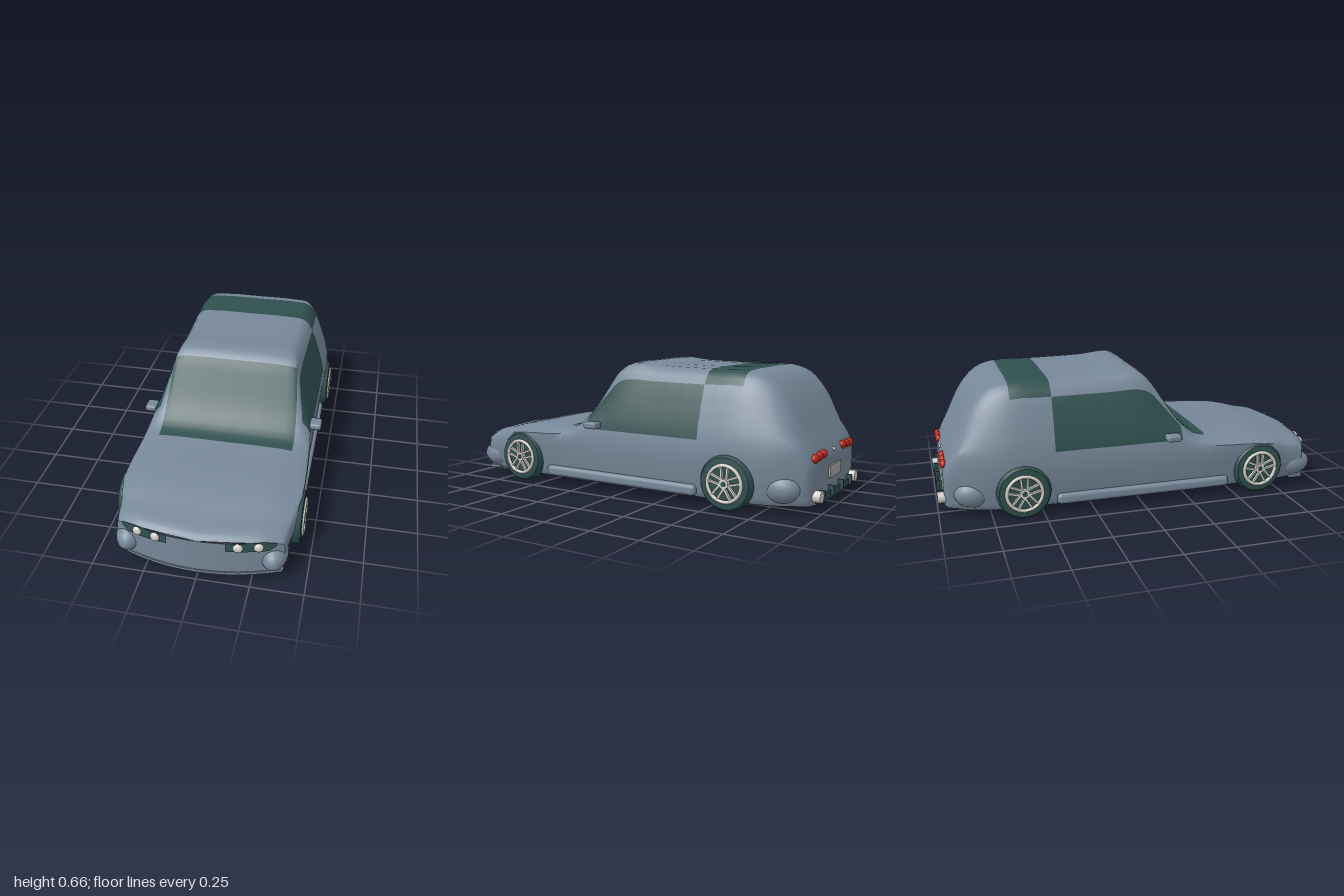
import * as THREE from 'three';
import { toCreasedNormals } from 'three/addons/utils/BufferGeometryUtils.js';
import { RoundedBoxGeometry } from 'three/addons/geometries/RoundedBoxGeometry.js';

const mat = (name, color) => Object.assign(new THREE.MeshStandardMaterial({ color }), { name });

// Stations, front to back: z, top y, roof edge x, window top x and y, belt x
const STATIONS = [
  [0.985, 0.225, 0.33, 0.37, 0.21, 0.39],
  [0.95, 0.245, 0.32, 0.37, 0.23, 0.395],
  [0.85, 0.262, 0.32, 0.37, 0.245, 0.405],
  [0.75, 0.285, 0.32, 0.38, 0.265, 0.42],
  [0.63, 0.303, 0.33, 0.39, 0.28, 0.435],
  [0.36, 0.318, 0.345, 0.39, 0.3, 0.43],
  [0.29, 0.337, 0.345, 0.385, 0.318, 0.425],
  [0.21, 0.41, 0.342, 0.375, 0.385, 0.42],
  [0.12, 0.54, 0.33, 0.35, 0.49, 0.42],
  [0.06, 0.625, 0.32, 0.337, 0.555, 0.42],
  [0, 0.66, 0.305, 0.335, 0.575, 0.42],
  [-0.15, 0.65, 0.3, 0.335, 0.573, 0.42],
  [-0.44, 0.645, 0.3, 0.342, 0.573, 0.42],
  [-0.64, 0.645, 0.3, 0.342, 0.573, 0.425],
  [-0.74, 0.615, 0.285, 0.33, 0.535, 0.41],
  [-0.83, 0.52, 0.275, 0.32, 0.45, 0.385],
  [-0.9, 0.385, 0.26, 0.305, 0.35, 0.35],
  [-0.95, 0.285, 0.25, 0.285, 0.265, 0.32],
  [-0.968, 0.235, 0.22, 0.25, 0.22, 0.275],
];
const FLOOR = 0.04, SUB_Z = 3, SUB_V = 2;

// How far the nose sweeps back at x
const sweep = (x, z) => 0.085 * THREE.MathUtils.smoothstep(z, 0.65, 0.98) * (x / 0.4) ** 2;
const noseZ = (x) => 0.985 - sweep(x, 0.985);

// Half cross-section, bottom centre to roof centre
function halfSection([z, top, roofX, winX, winY, beltX]) {
  const beltY = Math.min(0.32, top * 0.88);
  const flankX = Math.min(beltX + 0.005, 0.425), sillX = flankX - 0.02;
  const pts = [
    [0, FLOOR], [sillX - 0.015, FLOOR], [sillX, 0.075], [flankX, beltY * 0.65], [beltX, beltY],
    [(beltX + winX) / 2 + 0.006, (beltY + winY) / 2], [winX, winY], [roofX, top * 0.975],
    [roofX * 0.85, top * 0.995], [0, top],
  ];
  return pts.map(([x, y]) => new THREE.Vector3(x, y, z - sweep(x, z)));
}

function refine(points, sub) {
  return new THREE.CatmullRomCurve3(points).getPoints((points.length - 1) * sub);
}

// Body shell: windows are the grid cells between fixed section points
function bodyGeometry() {
  const sections = STATIONS.map(halfSection);
  const rails = sections[0].map((_, i) => refine(sections.map((s) => s[i]), SUB_Z));
  const halves = rails[0].map((_, s) => refine(rails.map((r) => r[s]), SUB_V));
  const n = halves[0].length, around = 2 * (n - 1);
  const pos = [], paint = [], glass = [];
  for (const half of halves) {
    for (let v = 0; v < around; v++) {
      const p = half[v < n ? v : around - v];
      const side = v === 0 || v === n - 1 ? 0 : v < n ? 1 : -1;
      pos.push(p.x * side, p.y, p.z);
    }
  }
  const isGlass = (z, cell) => {
    const c = Math.floor(cell / SUB_V);
    if (z < 0.36 && z > 0.06 && c >= 7) return true;           // windscreen
    if (z < 0.21 && z > -0.44 && c >= 4 && c < 6) return true; // side windows
    return z < -0.44 && z > -0.64 && c >= 6;                   // rear roof band
  };
  for (let s = 0; s < halves.length - 1; s++) {
    const zMid = (halves[s][0].z + halves[s + 1][0].z) / 2;
    for (let v = 0; v < around; v++) {
      const w = (v + 1) % around;
      const a = s * around + v, b = a + around, c = (s + 1) * around + w, d = s * around + w;
      const cell = v < n - 1 ? v : around - 1 - v;
      (isGlass(zMid, cell) ? glass : paint).push(a, b, c, a, c, d);
    }
  }
  // Swept nose and flat tail panels
  const cols = 12;
  for (const half of [halves[0], halves.at(-1)]) {
    const base = pos.length / 3, z0 = half[0].z;
    for (const p of half) {
      for (let c = 0; c <= cols; c++) {
        const x = p.x * (c / cols * 2 - 1);
        pos.push(x, p.y, z0 - sweep(x, z0));
      }
    }
    for (let r = 0; r < n - 1; r++) {
      for (let c = 0; c < cols; c++) {
        const a = base + r * (cols + 1) + c, b = a + 1, d = a + cols + 1, e = d + 1;
        if (z0 > 0) paint.push(a, b, e, a, e, d);
        else paint.push(a, e, b, a, d, e);
      }
    }
  }
  const geo = new THREE.BufferGeometry();
  geo.setAttribute('position', new THREE.Float32BufferAttribute(pos, 3));
  geo.setIndex([...paint, ...glass]);
  geo.addGroup(0, paint.length, 0);
  geo.addGroup(paint.length, glass.length, 1);
  return toCreasedNormals(geo, 0.75);
}

export function createModel() {
  const car = new THREE.Group();
  car.name = 'car';
  const paint = mat('bodyPaint', 0x778899), dark = mat('darkGlassAndRubber', 0x2f4f4f);
  const silver = mat('silver', 0xd3d0c8), red = mat('tailRed', 0xc0281c);
  const plateGrey = mat('plateGrey', 0xa9a9a9);
  const add = (name, geo, material, x = 0, y = 0, z = 0, parent = car) => {
    const m = new THREE.Mesh(geo, material);
    m.name = name;
    m.position.set(x, y, z);
    parent.add(m);
    return m;
  };
  const ball = (rx, ry, rz) => new THREE.SphereGeometry(1, 20, 14).scale(rx, ry, rz);
  const axle = (r, width) => new THREE.CylinderGeometry(r, r, width, 28).rotateZ(-Math.PI / 2);

  add('body', bodyGeometry(), [paint, dark]);

  // Front lip following the swept nose
  const lip = new THREE.Shape();
  lip.moveTo(-0.39, 0.84);
  lip.lineTo(0.39, 0.84);
  for (let i = 0; i <= 16; i++) {
    const x = 0.39 - 0.78 * i / 16;
    lip.lineTo(x, noseZ(x) + 0.006);
  }
  add('frontLip', new THREE.ExtrudeGeometry(lip, { depth: 0.014, bevelEnabled: false }).rotateX(Math.PI / 2), paint, 0, 0.052, 0);

  // Wheel, axle along x, outer face towards +x
  const tyreProfile = [[0.06, -0.05], [0.12, -0.05], [0.132, -0.035], [0.132, 0.03], [0.122, 0.045], [0.094, 0.048], [0.09, 0.03]]
    .map(([r, h]) => new THREE.Vector2(r, h));
  const makeWheel = (name, x, z) => {
    const wheel = new THREE.Group();
    wheel.name = name;
    wheel.position.set(x, 0.134, z);
    if (x < 0) wheel.rotation.y = Math.PI;
    car.add(wheel);
    add('tyre', toCreasedNormals(new THREE.LatheGeometry(tyreProfile, 28).rotateZ(-Math.PI / 2), 0.6), dark, 0, 0, 0, wheel);
    add('wheelWell', axle(0.092, 0.08), dark, -0.005, 0, 0, wheel);
    add('rim', new THREE.TorusGeometry(0.086, 0.009, 8, 32).rotateY(Math.PI / 2), silver, 0.048, 0, 0, wheel);
    add('hub', axle(0.024, 0.022), silver, 0.045, 0, 0, wheel);
    add('hubCap', axle(0.012, 0.006), dark, 0.057, 0, 0, wheel);
    for (let i = 0; i < 5; i++) {
      for (const s of [-1, 1]) {
        const spoke = add('spoke', new THREE.BoxGeometry(0.014, 0.072, 0.01).translate(0, 0.05, s * 0.011), silver, 0.046, 0, 0, wheel);
        spoke.rotation.x = i * Math.PI * 0.4 + s * 0.08;
      }
    }
  };

  for (const s of [-1, 1]) {
    const side = s > 0 ? 'left' : 'right';
    makeWheel(side + 'FrontWheel', s * 0.4, 0.63);
    makeWheel(side + 'RearWheel', s * 0.4, -0.6);

    // Sill, bumper corners and mirror
    add(side + 'Sill', new RoundedBoxGeometry(0.05, 0.055, 0.9, 3, 0.02), paint, s * 0.408, 0.075, 0.015);
    add(side + 'FrontBumperCorner', ball(0.065, 0.068, 0.1), paint, s * 0.343, 0.112, 0.87);
    add(side + 'RearBumperCorner', ball(0.065, 0.07, 0.095), paint, s * 0.335, 0.12, -0.83);
    add(side + 'Mirror', new RoundedBoxGeometry(0.06, 0.034, 0.075, 3, 0.012), paint, s * 0.44, 0.344, 0.15);

    // Headlamp panel bent round the nose, with two lamps
    const panel = new THREE.BufferGeometry();
    const pos = [], idx = [];
    for (let i = 0; i <= 8; i++) {
      const f = i / 8, x = 0.135 + 0.225 * f;
      const low = 0.186 - 0.008 * f + Math.max(0, f - 0.85) * 0.2;
      const high = 0.226 + 0.008 * Math.min(1, f * 1.4) - Math.max(0, f - 0.7) * 0.04;
      pos.push(s * x, low, noseZ(x) + 0.008, s * x, high, noseZ(x) + 0.004);
      if (i) {
        const a = 2 * i - 2, b = a + 1, c = a + 2, d = a + 3;
        if (s > 0) idx.push(a, c, d, a, d, b);
        else idx.push(a, d, c, a, b, d);
      }
    }
    panel.setAttribute('position', new THREE.Float32BufferAttribute(pos, 3));
    panel.setIndex(idx);
    panel.computeVertexNormals();
    add(side + 'HeadlampPanel', panel, dark);
    for (const x of [0.19, 0.28]) add(side + 'Headlamp', ball(0.024, 0.024, 0.016), silver, s * x, 0.203, noseZ(x) + 0.003);

    // Tail lamps, exhaust and diffuser fins
    for (const x of [0.14, 0.195, 0.25]) add(side + 'TailLamp', ball(0.029, 0.022, 0.018), red, s * x, 0.258 - (x - 0.195) * 0.05, -0.96);
    add(side + 'Exhaust', new THREE.CylinderGeometry(0.028, 0.028, 0.06, 16).rotateX(Math.PI / 2), silver, s * 0.255, 0.083, -0.97);
    for (const x of [0.07, 0.2]) add(side + 'DiffuserFin', new THREE.BoxGeometry(0.008, 0.05, 0.04), dark, s * x, 0.075, -0.975);
  }

  // Rear diffuser, number plate and boot lock
  add('diffuser', new THREE.BoxGeometry(0.5, 0.03, 0.02), dark, 0, 0.062, -0.97);
  add('numberPlate', new THREE.BoxGeometry(0.16, 0.06, 0.008), plateGrey, 0, 0.165, -0.972);
  add('bootLock', ball(0.009, 0.009, 0.008), silver, 0, 0.262, -0.962);
  return car;
}
